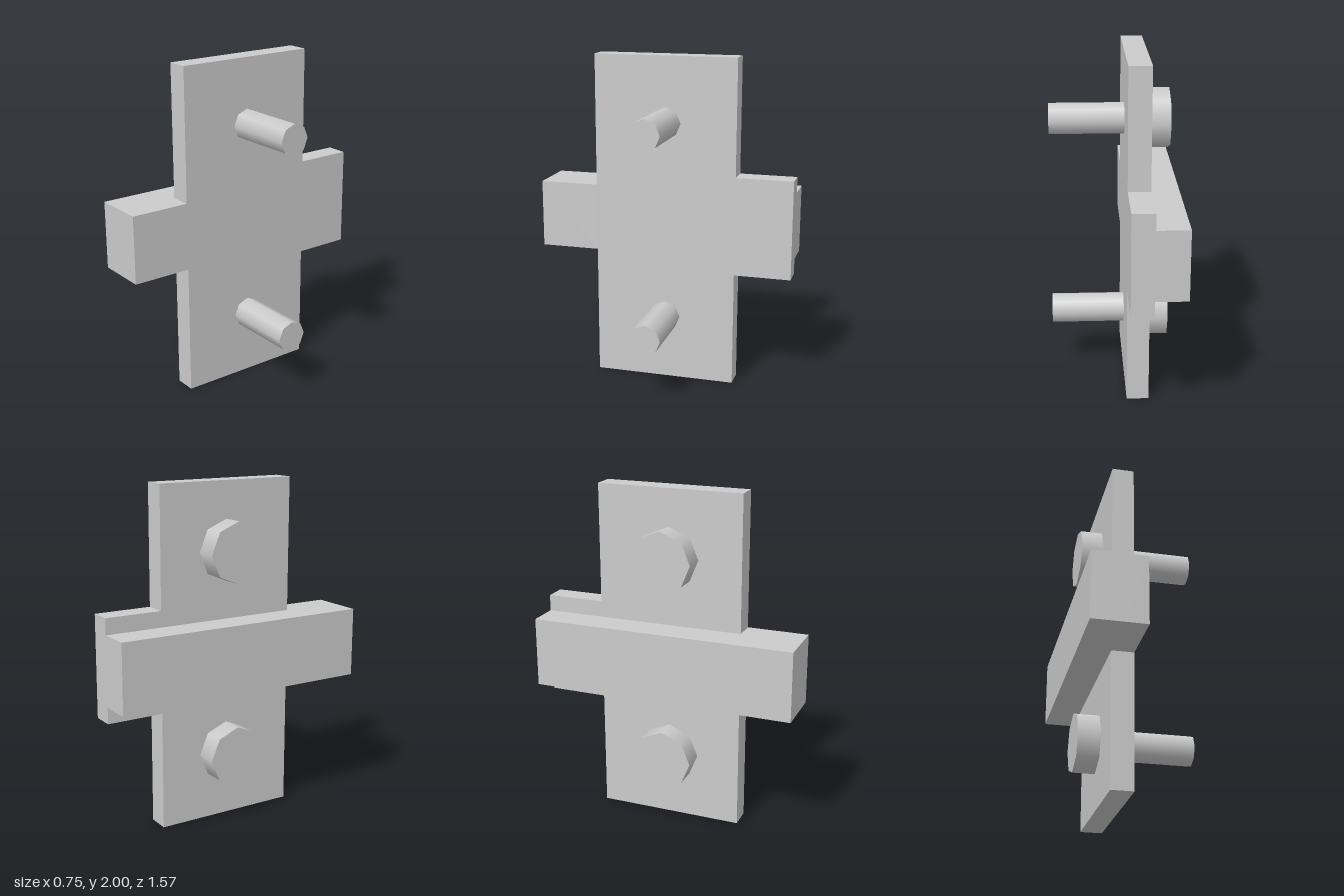
import * as THREE from 'three';

const FRONT = -0.06;  // mounting face of the plate, seen along x
const BACK = -0.19;   // rear face of the plate
const MID_Z = -0.01;  // plate and bolt centre line

export function createModel() {
  const group = new THREE.Group();
  const material = new THREE.MeshStandardMaterial({ color: 0xcccccc });
  const add = (name, geometry, parent = group) => {
    const mesh = new THREE.Mesh(geometry, material);
    mesh.name = name;
    parent.add(mesh);
    return mesh;
  };

  // Cross-shaped plate: outline in (z, y), a narrow arm forward and a wider tab behind
  const outline = [
    [-0.44, 0], [0.425, 0], [0.425, 0.795], [0.783, 0.795], [0.783, 1.205], [0.425, 1.205],
    [0.425, 2], [-0.44, 2], [-0.44, 1.3], [-0.783, 1.3], [-0.783, 0.7], [-0.44, 0.7],
  ].map(([z, y]) => new THREE.Vector2(z, y));
  const plate = new THREE.ExtrudeGeometry(new THREE.Shape(outline), { depth: FRONT - BACK, bevelEnabled: false });
  plate.rotateY(-Math.PI / 2);
  add('plate', plate).position.x = FRONT;

  // Rib running the full length across the back of the plate
  const ribBack = -0.377;
  add('crossRib', new THREE.BoxGeometry(BACK - ribBack, 0.41, 1.566))
    .position.set((BACK + ribBack) / 2, 1, 0);

  // Eight-sided rod lying along x between two positions
  const rod = (radius, x0, x1) => {
    const geometry = new THREE.CylinderGeometry(radius, radius, x1 - x0, 8);
    geometry.rotateZ(-Math.PI / 2);
    geometry.translate((x0 + x1) / 2, 0, 0);
    return geometry;
  };

  // Two bolts: head behind the plate, shank through to the front
  for (const [name, y] of [['upperBolt', 1.605], ['lowerBolt', 0.4]]) {
    const bolt = new THREE.Group();
    bolt.name = name;
    bolt.position.set(0, y, MID_Z);
    add('boltHead', rod(0.178, -0.32, BACK), bolt);
    add('boltShank', rod(0.093, BACK, 0.375), bolt);
    group.add(bolt);
  }
  return group;
}
